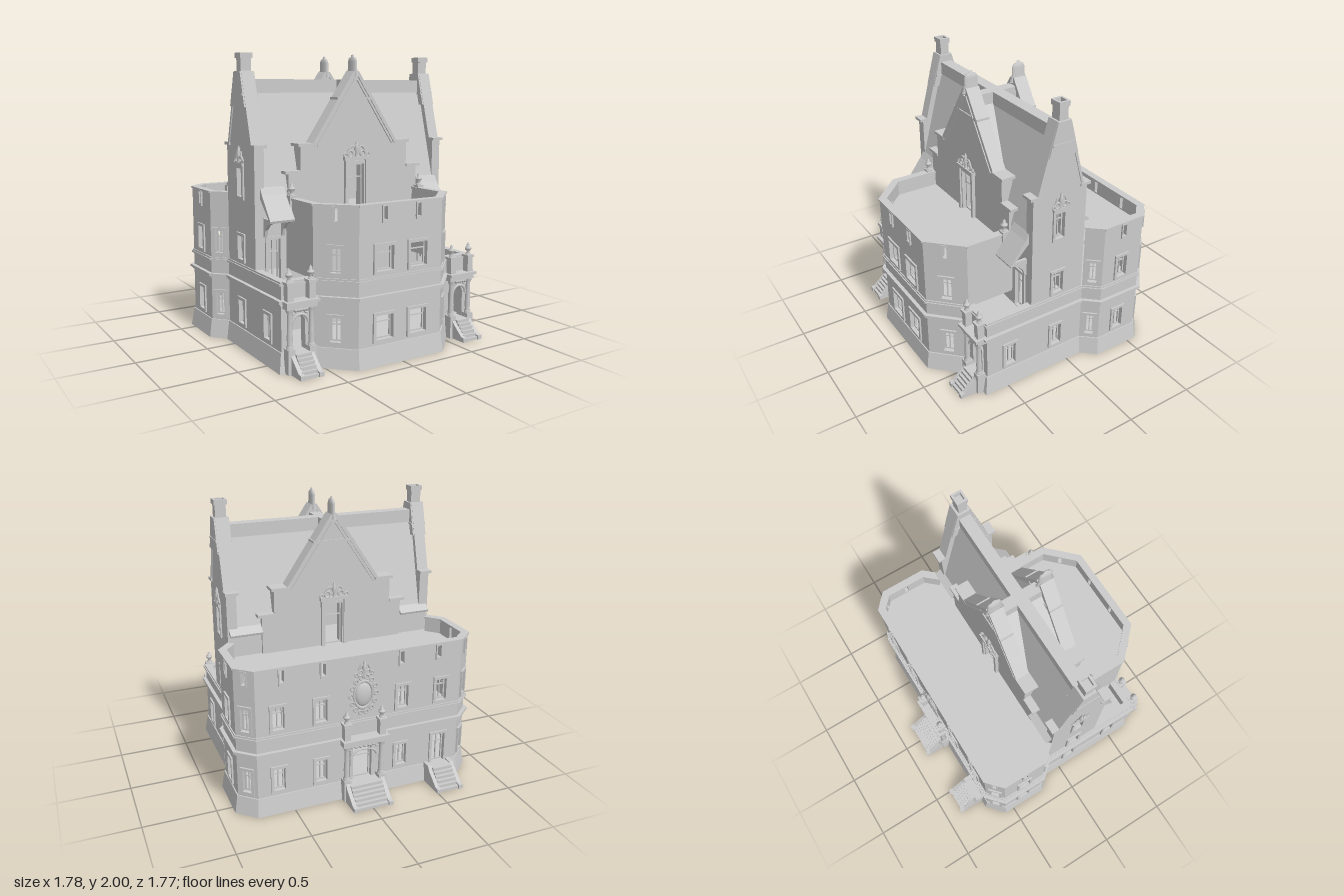
import * as THREE from 'three';

const MAT = new THREE.MeshStandardMaterial({ color: 0xcccccc, flatShading: true, side: THREE.DoubleSide });
const SMOOTH = new THREE.MeshStandardMaterial({ color: 0xcccccc, side: THREE.DoubleSide });

function add(parent, name, geo, x = 0, y = 0, z = 0, mat = MAT) {
  const m = new THREE.Mesh(geo, mat);
  m.name = name;
  m.position.set(x, y, z);
  parent.add(m);
  return m;
}
const box = (p, name, w, h, d, x, y, z) => add(p, name, new THREE.BoxGeometry(w, h, d), x, y, z);
const lathe = (p, name, pts, x, y, z) =>
  add(p, name, new THREE.LatheGeometry(pts.map(a => new THREE.Vector2(...a)), 12), x, y, z, SMOOTH);
const shapeOf = pts => new THREE.Shape(pts.map(a => new THREE.Vector2(...a)));
const extrude = (s, depth) => new THREE.ExtrudeGeometry(s, { depth, bevelEnabled: false, curveSegments: 8 });
const mirrorProfile = half => [...half, ...half.slice().reverse().map(([x, y]) => [-x, y])];

function group(parent, name, x = 0, y = 0, z = 0, turn = 0) {
  const g = new THREE.Group();
  g.name = name;
  g.position.set(x, y, z);
  g.rotation.y = turn;
  parent.add(g);
  return g;
}

// Move a plan outline outward by d with mitred corners
function offset(pts, d) {
  const n = pts.length, dir = i => {
    const a = pts[(i + n) % n], b = pts[(i + 1) % n], l = Math.hypot(b[0] - a[0], b[1] - a[1]);
    return [-(b[1] - a[1]) / l, (b[0] - a[0]) / l];
  };
  return pts.map(([x, z], i) => {
    const a = dir(i - 1), b = dir(i), k = d / (1 + a[0] * b[0] + a[1] * b[1]);
    return [x + (a[0] + b[0]) * k, z + (a[1] + b[1]) * k];
  });
}
// Horizontal slab from a plan outline, optionally a ring
function slab(pts, y0, y1, inner) {
  const s = shapeOf(pts.map(([x, z]) => [x, -z]));
  if (inner) s.holes.push(shapeOf(inner.map(([x, z]) => [x, -z])));
  return extrude(s, y1 - y0).rotateX(-Math.PI / 2).translate(0, y0, 0);
}
// Profile in (z, y) drawn out along x
const prismX = (pts, x0, x1) => extrude(shapeOf(pts), x1 - x0).rotateY(-Math.PI / 2).translate(x1, 0, 0);

function hole(u, w, y0, y1, arch) {
  const s = new THREE.Shape();
  s.moveTo(u - w / 2, y0);
  s.lineTo(u + w / 2, y0);
  if (arch) s.absarc(u, y1 - w / 2, w / 2, 0, Math.PI);
  else { s.lineTo(u + w / 2, y1); s.lineTo(u - w / 2, y1); }
  s.closePath();
  return s;
}

// Wall from a to b (outside on the left of travel seen from below), openings are [u, width, y0, y1, kind]
function wall(parent, name, a, b, profile, openings = [], t = 0.04) {
  const dx = b[0] - a[0], dz = b[1] - a[1], L = Math.hypot(dx, dz);
  const g = group(parent, name, (a[0] + b[0]) / 2, 0, (a[1] + b[1]) / 2, Math.atan2(-dz, dx));
  const [y0, y1] = profile;
  const pts = Array.isArray(y0) ? mirrorProfile(profile) : mirrorProfile([[L / 2, y0], [L / 2, y1]]);
  const s = shapeOf(pts);
  for (const [u, w, h0, h1, kind] of openings) {
    const arch = kind === 'arch';
    s.holes.push(hole(u, w, h0, h1, arch));
    if (kind === 'bare') continue;
    const trim = kind === 'slit' ? 0.01 : 0.02;
    const surround = hole(u, w + 2 * trim, h0 - (kind ? 0.005 : trim), Math.min(h1 + trim, kind === 'slit' ? 1.045 : 9), arch);
    surround.holes.push(hole(u, w, h0, h1, arch));
    add(g, 'openingSurround', extrude(surround, 0.022), 0, 0, -0.01);
    if (kind === 'slit') { box(g, 'slitCorbel', 0.045, 0.02, 0.025, u, h0 - 0.01, 0); continue; }
    if (arch) continue;
    const sash = hole(u, w, h0, h1);
    sash.holes.push(hole(u, w - 0.02, h0 + 0.01, h1 - 0.01));
    add(g, 'sash', extrude(sash, 0.012), 0, 0, -0.03);
    if (w < 0.12) box(g, 'mullion', 0.008, h1 - h0, 0.01, u, (h0 + h1) / 2, -0.024);
    if (w < 0.15) box(g, 'transom', w, 0.008, 0.01, u, h0 + (h1 - h0) * 0.7, -0.024);
  }
  add(g, name + 'Body', extrude(s, t), 0, 0, -t);
  return g;
}
function coping(g, L) { box(g, 'parapetCoping', L + 0.01, 0.014, 0.055, 0, 1.048, -0.02); }
// Bar between two points in a wall's own plane, used on both halves
function rake(g, [u0, y0], [u1, y1], thick, depth, z) {
  for (const s of [1, -1])
    box(g, 'gableCoping', Math.hypot(u1 - u0, y1 - y0), thick, depth, s * (u0 + u1) / 2, (y0 + y1) / 2, z)
      .rotation.z = s * Math.atan2(y1 - y0, u1 - u0);
}

function urn(p, x, y, z) {
  lathe(p, 'urn', [[0.018, 0], [0.018, 0.01], [0.008, 0.02], [0.024, 0.04], [0.024, 0.05], [0.01, 0.06], [0.012, 0.072], [0, 0.09]], x, y, z);
}
// Scrolled ornament over an opening
function crest(p, x, y, z, w) {
  const g = group(p, 'scrollCrest', x, y, z);
  lathe(g, 'crestFinial', [[0.014, 0], [0.008, 0.03], [0.02, 0.055], [0.008, 0.075], [0.011, 0.09], [0, 0.115]], 0, 0, 0);
  for (const s of [1, -1]) {
    add(g, 'scroll', new THREE.TorusGeometry(0.02, 0.008, 6, 12), s * w * 0.3, 0.022, 0, SMOOTH);
    add(g, 'scroll', new THREE.TorusGeometry(0.012, 0.006, 6, 12), s * w * 0.55, 0.014, 0, SMOOTH);
    const path = new THREE.QuadraticBezierCurve3(new THREE.Vector3(s * w * 0.45, 0.02, 0), new THREE.Vector3(s * w * 0.3, 0.09, 0), new THREE.Vector3(s * 0.025, 0.07, 0));
    add(g, 'scrollStem', new THREE.TubeGeometry(path, 8, 0.007, 6), 0, 0, 0, SMOOTH);
  }
}
// Steps running out along local +z
function stairs(p, w, len) {
  const n = 6, g = group(p, 'stairs');
  for (let i = 0; i < n; i++) {
    const d = len * (0.35 + 0.6 * (n - i) / n);
    box(g, 'step', w, 0.13 / n, d, 0, (i + 0.5) * 0.13 / n, d / 2);
  }
  for (const s of [1, -1])
    add(g, 'stairCheek', prismX([[0, 0], [len, 0], [len, 0.03], [len * 0.85, 0.035], [len * 0.4, 0.11], [len * 0.3, 0.14], [0, 0.14]], -0.016, 0.016), s * (w / 2 + 0.012));
}
function porch(p, hw) {
  const g = group(p, 'porch');
  for (const s of [1, -1]) {
    const x = s * hw;
    box(g, 'columnPedestal', 0.052, 0.16, 0.06, x, 0.08, 0.035);
    lathe(g, 'column', [[0.024, 0.16], [0.024, 0.175], [0.017, 0.185], [0.021, 0.24], [0.018, 0.25], [0.015, 0.38], [0.024, 0.4], [0.024, 0.42]], x, 0, 0.037);
    box(g, 'pier', 0.045, 0.11, 0.05, x, 0.52, 0.03);
    box(g, 'pierCap', 0.06, 0.018, 0.065, x, 0.579, 0.03);
    urn(g, x, 0.588, 0.03);
    add(g, 'archScroll', new THREE.TorusGeometry(0.014, 0.006, 6, 12), s * (hw - 0.03), 0.39, 0.03, SMOOTH);
  }
  box(g, 'entablature', 2 * hw + 0.06, 0.03, 0.06, 0, 0.43, 0.03);
  box(g, 'entablatureCornice', 2 * hw + 0.08, 0.02, 0.08, 0, 0.457, 0.04);
  add(g, 'archMoulding', new THREE.TorusGeometry(hw * 0.75, 0.009, 6, 16, Math.PI), 0, 0.31, 0.03, SMOOTH).scale.y = 0.06 / (hw * 0.75);
  for (let i = -2; i <= 2; i++) add(g, 'archBoss', new THREE.SphereGeometry(0.013, 8, 6), i * hw * 0.25, 0.405, 0.045, SMOOTH);
}

export function createModel() {
  const model = new THREE.Group();
  model.name = 'gabledHouse';
  const mir = half => [...half, ...half.slice().reverse().map(([x, z]) => [-x, z])];
  const rear = [[0.77, -0.13], [0.86, -0.23], [0.86, -0.56], [0.75, -0.66]];
  const plan = mir([[0.33, 0.86], [0.54, 0.65], [0.77, 0.65], ...rear]);
  const upperPlan = mir([[0.33, 0.86], [0.54, 0.65], [0.54, 0.3], [0.77, 0.3], ...rear]);

  // Flared plinth: bottom corners pushed outward
  const top = offset(plan, 0.008), foot = offset(plan, 0.028), plinth = slab(top, 0, 0.13), pos = plinth.attributes.position;
  for (let i = 0; i < pos.count; i++) if (pos.getY(i) < 0.01) {
    const k = top.findIndex(q => Math.hypot(q[0] - pos.getX(i), q[1] - pos.getZ(i)) < 0.001);
    pos.setXYZ(i, foot[k][0], 0, foot[k][1]);
  }
  plinth.computeVertexNormals();
  add(model, 'plinth', plinth);

  // Ground storey
  const lo = (u, w = 0.08) => [u, w, 0.17, 0.33], up = (u, w = 0.08) => [u, w, 0.62, 0.78], slit = u => [u, 0.028, 0.95, 1.035, 'slit'];
  const ground = [[lo(0, 0.075)], [[0, 0.1, 0.13, 0.36, 'arch']], [lo(-0.21), lo(0.17)], [lo(0, 0.06)], [lo(0)], [lo(0, 0.06)],
    [lo(-0.6), lo(-0.3), [0, 0.14, 0.13, 0.37, 'door'], lo(0.3), [0.6, 0.1, 0.13, 0.35, 'door']]];
  plan.forEach((a, i) => {
    const ops = i === 13 ? [lo(-0.135, 0.135), lo(0.135, 0.135)] : ground[i] || ground[12 - i].map(([u, ...r]) => [-u, ...r]);
    wall(model, 'groundWall', a, plan[(i + 1) % 14], [0.1, 0.57], ops);
  });
  // Floors, decks and string courses
  add(model, 'firstFloor', slab(offset(plan, -0.01), 0.45, 0.47));
  add(model, 'roofDeck', slab(offset(upperPlan, -0.01), 0.92, 0.94));
  for (const [y0, y1, d] of [[0.435, 0.45, 0.012], [0.45, 0.468, 0.026], [0.56, 0.572, 0.016], [0.572, 0.584, 0.008]])
    add(model, 'stringCourse', slab(offset(plan, d), y0, y1, offset(plan, -0.045)));

  // Upper storey with parapets: front bay, then rear block
  const run = (pts, ops) => pts.slice(1).forEach((b, i) => {
    const a = pts[i];
    coping(wall(model, 'upperWall', a, b, [0.57, 1.045], ops[i]), Math.hypot(b[0] - a[0], b[1] - a[1]));
  });
  run([[-0.54, 0.3], [-0.54, 0.65], [-0.33, 0.86], [0.33, 0.86], [0.54, 0.65], [0.54, 0.3]],
    [[], [up(0, 0.075), slit(0)], [up(-0.135, 0.135), up(0.135, 0.135), slit(-0.135), slit(0.135)], [up(0, 0.075), slit(0)], []]);
  const corner = [up(0, 0.06)], side = [up(0), slit(0)];
  run(mir(rear), [corner, side, [up(0, 0.06), slit(0)], [-0.6, -0.3, 0.3, 0.6].flatMap(u => [up(u), slit(u * 0.95)]), [up(0, 0.06), slit(0)], side, corner]);

  // Cross walls of the main house and stepped gables, alike at front and back
  for (const turn of [0, Math.PI]) {
    const h = group(model, turn ? 'backGable' : 'frontGable', 0, 0, 0.09, turn);
    wall(h, 'houseWall', [-0.77, 0.21], [0.77, 0.21], [[0.77, 0.1], [0.77, 1.1], [0.5, 1.1], [0.5, 0.93]],
      [-0.635, 0.635].flatMap(u => [[u, 0.09, 0.13, 0.36, 'bare'], [u, 0.09, 0.49, 0.78, 'door']]), 0.03);
    const g = wall(h, 'steppedGable', [-0.53, 0.23], [0.53, 0.23],
      [[0.53, 0.93], [0.53, 1.21], [0.44, 1.21], [0.44, 1.39], [0.33, 1.39], [0.02, 1.86]], [[0, 0.13, 0.94, 1.25, 'door']], 0.085);
    for (const s of [1, -1]) {
      box(g, 'stepCoping', 0.12, 0.02, 0.105, s * 0.5, 1.218, -0.042);
      box(g, 'stepCoping', 0.14, 0.02, 0.105, s * 0.39, 1.396, -0.042);
      box(g, 'doorPilaster', 0.022, 0.34, 0.03, s * 0.085, 1.11, 0.01);
    }
    rake(g, [0.34, 1.39], [0.01, 1.88], 0.025, 0.1, -0.042);
    rake(g, [0.31, 1.385], [0.01, 1.83], 0.012, 0.02, 0);
    box(g, 'gableBand', 0.3, 0.018, 0.1, 0, 1.7, -0.042);
    box(g, 'doorCornice', 0.21, 0.025, 0.04, 0, 1.29, 0.01);
    crest(g, 0, 1.3, 0.015, 0.17);
    lathe(g, 'gableFinial', [[0.07, 1.85], [0.052, 1.9], [0.052, 1.95], [0.04, 1.975], [0.015, 1.985], [0.015, 1.995], [0, 2]], 0, 0, -0.042).scale.x = 0.35;
  }

  // Side gables with chimneys
  for (const s of [1, -1]) {
    const g = wall(model, 'sideGable', [s * 0.77, 0.09 + s * 0.21], [s * 0.77, 0.09 - s * 0.21],
      [[0.21, 0.5], [0.21, 1.39], [0.17, 1.39], [0.045, 1.87]], [[0, 0.07, 1.05, 1.24], up(0)], 0.07);
    for (const k of [1, -1]) box(g, 'shoulderCoping', 0.08, 0.02, 0.09, k * 0.195, 1.396, -0.035);
    rake(g, [0.175, 1.39], [0.04, 1.88], 0.018, 0.085, -0.035);
    add(g, 'chimneyBase', extrude(shapeOf(mirrorProfile([[0.11, 1.65], [0.048, 1.88]])), 0.105), 0, 0, -0.088);
    box(g, 'gableBand', 0.17, 0.015, 0.115, 0, 1.73, -0.036);
    box(g, 'chimney', 0.065, 0.1, 0.075, 0, 1.92, -0.036);
    const cap = hole(0, 0.08, -0.045, 0.045);
    cap.holes.push(hole(0, 0.05, -0.03, 0.03));
    add(g, 'chimneyCap', extrude(cap, 0.035).rotateX(-Math.PI / 2), 0, 1.965, -0.036);
    box(g, 'windowCornice', 0.12, 0.02, 0.03, 0, 1.27, 0.005);
    crest(g, 0, 1.28, 0.01, 0.1);
  }

  // Main and cross roof planes meeting in valleys, mirrored four ways
  const face = (name, pts) => {
    const geo = new THREE.BufferGeometry(), v = [];
    for (let i = 1; i < pts.length - 1; i++) v.push(...pts[0], ...pts[i], ...pts[i + 1]);
    geo.setAttribute('position', new THREE.Float32BufferAttribute(v, 3));
    geo.computeVertexNormals();
    add(model, name, geo);
  };
  for (const sx of [1, -1]) for (const sz of [1, -1]) {
    const main = (x, y) => [sx * x, y, 0.09 + sz * (0.045 + (1.73 - y) * 0.27)];
    const fan = [main(0.34, 1.38), main(0.34, 1.1), main(0.72, 1.1), main(0.72, 1.75), main(0.04, 1.75)];
    face('mainRoof', fan);
    face('crossRoof', [fan[4], fan[0], [sx * 0.34, 1.38, 0.09 + sz * 0.19], [sx * 0.04, 1.75, 0.09 + sz * 0.19]]);
  }
  box(model, 'mainRidge', 1.42, 0.1, 0.085, 0, 1.78, 0.09);
  box(model, 'crossRidge', 0.08, 0.1, 0.36, 0, 1.78, 0.09);

  for (const s of [1, -1]) {
    // Flared eaves with curved brackets
    const x0 = s > 0 ? 0.55 : -0.73;
    add(model, 'frontEave', prismX([[0.28, 1.16], [0.325, 1.08], [0.44, 0.925], [0.435, 0.91], [0.3, 1.05]], x0, x0 + 0.18));
    add(model, 'backEave', prismX([[-0.1, 1.16], [-0.165, 1.11], [-0.16, 1.095], [-0.1, 1.12]], s > 0 ? 0.53 : -0.76, s > 0 ? 0.76 : -0.53));
    for (const x of [0.57, 0.7]) {
      const b = [[0.3, 0.8], [0.315, 0.8], [0.33, 0.85], [0.37, 0.89], [0.43, 0.91], [0.43, 0.925], [0.3, 0.925]];
      add(model, 'eaveBracket', prismX(b, s * x - 0.01, s * x + 0.01));
    }
    // Bay corner posts and front entrances
    box(model, 'cornerPost', 0.05, 0.14, 0.05, s * 0.53, 1.0, 0.36);
    urn(model, s * 0.53, 1.07, 0.36);
    const e = group(model, 'frontEntrance', s * 0.655, 0, 0.655);
    porch(e, 0.078);
    stairs(e, 0.11, 0.185);
  }

  // Back entrances
  const main = group(model, 'backEntrance', 0, 0, -0.665, Math.PI);
  porch(main, 0.13);
  stairs(main, 0.235, 0.215);
  stairs(group(model, 'backSideEntrance', -0.595, 0, -0.665, Math.PI), 0.15, 0.215);

  // Carved cartouche over the back door
  const c = group(model, 'cartouche', 0, 0.77, -0.665, Math.PI);
  add(c, 'shield', new THREE.SphereGeometry(1, 16, 12), 0, 0, 0, SMOOTH).scale.set(0.06, 0.09, 0.025);
  add(c, 'shieldRim', new THREE.TorusGeometry(0.068, 0.009, 6, 24), 0, 0, 0.008, SMOOTH).scale.y = 1.45;
  for (let i = 0; i < 14; i++) {
    const a = i / 14 * Math.PI * 2;
    add(c, 'wreathScroll', new THREE.TorusGeometry(0.014, 0.006, 5, 10), Math.cos(a) * 0.092, Math.sin(a) * 0.13, 0.012, SMOOTH);
  }
  crest(c, 0, 0.14, 0.015, 0.1);
  return model;
}
